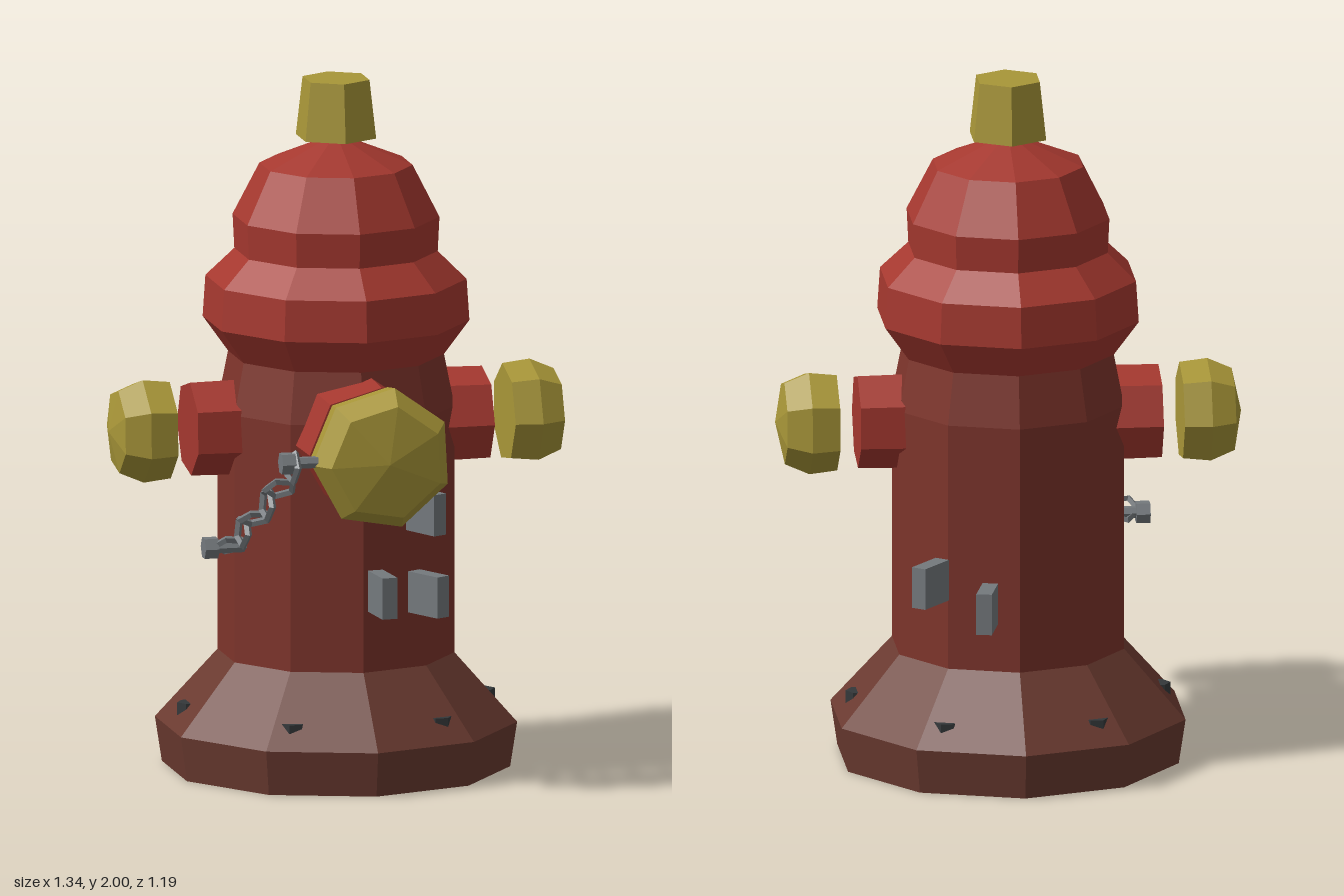
import * as THREE from 'three';

const AXIS_Z = -0.075;
const paint = (color) => new THREE.MeshStandardMaterial({ color, flatShading: true });

export function createModel() {
  const model = new THREE.Group();
  model.name = 'fireHydrant';

  const red = paint(0xa5382f);
  const darkRed = paint(0x7d342b);
  const brown = paint(0x6a3a30);
  const yellow = paint(0xa89638);
  const steel = paint(0x74797d);
  const iron = paint(0x34383a);

  const add = (parent, name, geometry, material) => {
    const mesh = new THREE.Mesh(geometry, material);
    mesh.name = name;
    parent.add(mesh);
    return mesh;
  };
  const lathe = (profile, sides, start = 0) =>
    new THREE.LatheGeometry(profile.map(([r, y]) => new THREE.Vector2(r, y)), sides, start);

  // Ten-sided body, stacked from the ground up
  const body = new THREE.Group();
  body.name = 'body';
  body.position.z = AXIS_Z;
  model.add(body);
  add(body, 'base', lathe([[0, 0], [0.5, 0], [0.52, 0.13], [0.34, 0.33]], 10), brown);
  add(body, 'barrel', lathe([[0.34, 0.33], [0.34, 1.05], [0.31, 1.2]], 10), darkRed);
  add(body, 'bonnet', lathe([[0.31, 1.2], [0.383, 1.3], [0.375, 1.42], [0.292, 1.5],
    [0.297, 1.6], [0.22, 1.75], [0, 1.84]], 10), red);
  add(body, 'topNut', new THREE.CylinderGeometry(0.1, 0.12, 0.17, 6), yellow).position.y = 1.915;

  // Bolts half sunk into the sloping base
  for (let i = 0; i < 6; i++) {
    const a = Math.PI / 6 + i * Math.PI / 3;
    const bolt = add(body, 'baseBolt', new THREE.CylinderGeometry(0.037, 0.037, 0.07, 6), iron);
    bolt.position.set(0.43 * Math.sin(a), 0.165, 0.43 * Math.cos(a));
    bolt.rotation.y = a;
  }

  // Seven-sided outlets, each a pipe with a domed cap standing clear of it
  const outlet = (name, turn, pipeR, capR) => {
    const group = new THREE.Group();
    group.name = name;
    group.position.y = 1;
    group.rotation.y = turn;
    body.add(group);
    const pipe = lathe([[pipeR, 0.2], [pipeR * 0.97, 0.435], [0, 0.435]], 7, -1.52);
    const cap = lathe([[0, 0.495], [capR * 0.94, 0.495], [capR, 0.575],
      [capR * 0.8, 0.645], [0, 0.67]], 7, -1.52);
    add(group, 'outletPipe', pipe.rotateX(Math.PI / 2), red);
    add(group, 'outletCap', cap.rotateX(Math.PI / 2), yellow);
  };
  outlet('frontOutlet', 0, 0.187, 0.208);
  outlet('leftOutlet', Math.PI / 2, 0.142, 0.152);
  outlet('rightOutlet', -Math.PI / 2, 0.142, 0.152);

  // Small plates standing out from the barrel: x, y, z
  const plates = [
    [0.042, 0.568, 0.325], [0.19, 0.553, 0.272], [0.18, 0.795, 0.28],
    [0.1, 0.537, -0.475], [0.255, 0.595, -0.395],
  ];
  for (const [x, y, z] of plates) {
    const plate = add(model, 'sidePlate', new THREE.BoxGeometry(0.045, 0.12, 0.125), steel);
    plate.position.set(x, y, z);
    plate.rotation.y = Math.atan2(x, z - AXIS_Z);
  }

  // Studs holding the chain ends: a neck along x and a hexagonal head
  const stud = (name, x, y, z, length) => {
    const group = new THREE.Group();
    group.name = name;
    group.position.set(x, y, z);
    model.add(group);
    const neck = new THREE.CylinderGeometry(0.018, 0.018, length, 6).rotateZ(Math.PI / 2);
    add(group, 'studNeck', neck, steel).position.x = length / 2;
    const head = new THREE.CylinderGeometry(0.033, 0.033, 0.04, 6).rotateZ(Math.PI / 2);
    add(group, 'studHead', head, steel).position.x = 0.02;
  };
  stud('capStud', -0.3, 1, 0.5, 0.12);
  stud('barrelStud', -0.42, 0.672, 0.05, 0.13);

  // Chain of five-sided links, every second one turned a quarter
  const path = new THREE.CatmullRomCurve3([
    [-0.262, 0.985, 0.49], [-0.28, 0.91, 0.41], [-0.3, 0.85, 0.335],
    [-0.31, 0.79, 0.235], [-0.325, 0.735, 0.14], [-0.345, 0.68, 0.06],
  ].map((p) => new THREE.Vector3(...p)));
  const chain = new THREE.Group();
  chain.name = 'chain';
  model.add(chain);
  for (let i = 0; i < 6; i++) {
    const t = i / 5;
    const along = path.getTangent(t);
    const normal = new THREE.Vector3().crossVectors(along, new THREE.Vector3(1, 0, 0)).normalize();
    const side = new THREE.Vector3().crossVectors(normal, along);
    const link = add(chain, 'chainLink', new THREE.TorusGeometry(0.044, 0.011, 4, 5), steel);
    link.quaternion.setFromRotationMatrix(new THREE.Matrix4().makeBasis(along, side, normal));
    if (i % 2 === 0) link.rotateX(Math.PI / 2);
    link.position.copy(path.getPoint(t));
  }

  return model;
}
